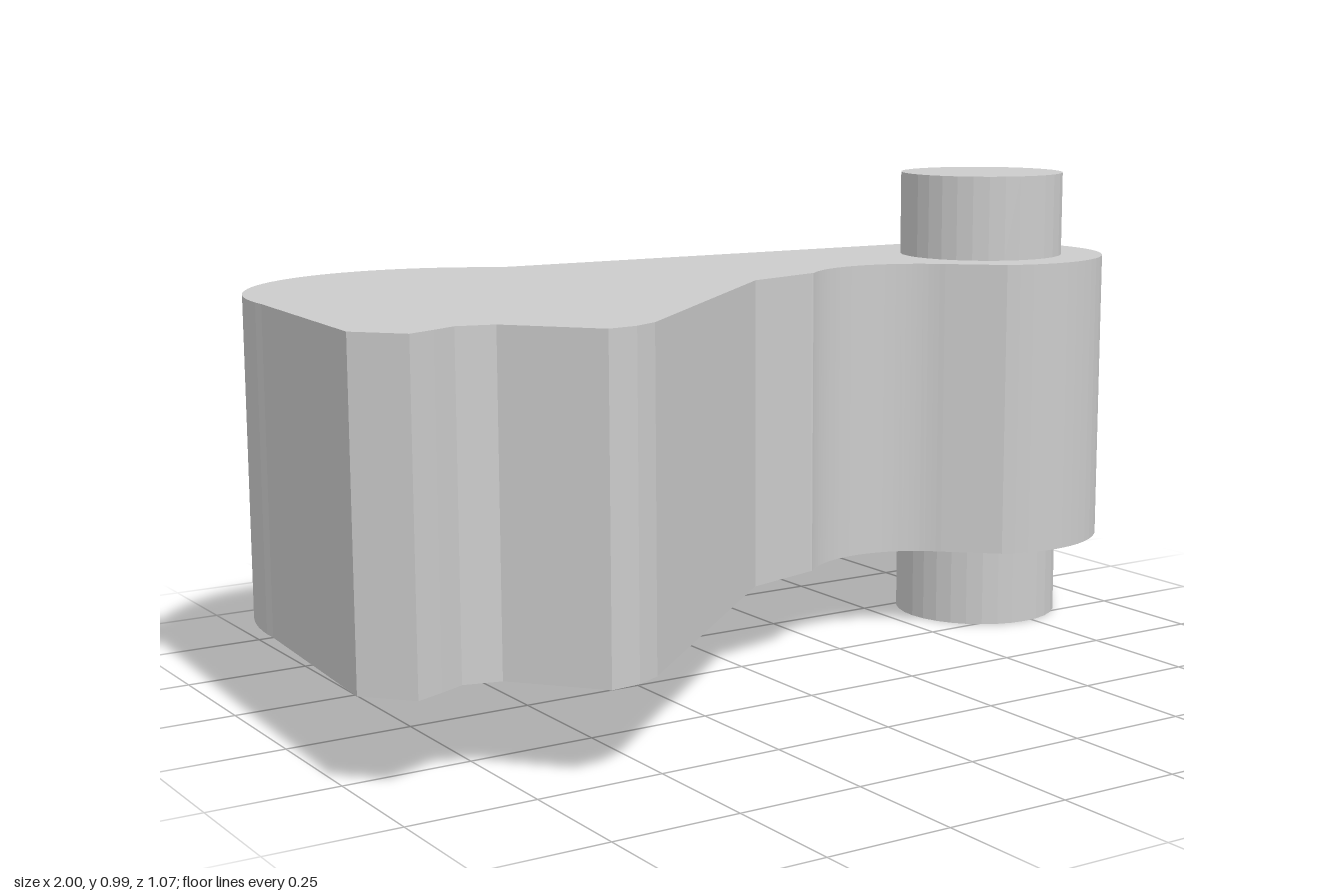
import * as THREE from 'three';

const material = new THREE.MeshStandardMaterial({ color: 0xcccccc, flatShading: true });
const BOTTOM = 0.18, TOP = 0.805, HEIGHT = 0.985;
const PIVOT = { x: 0.73, z: -0.14 };
const rad = THREE.MathUtils.degToRad;

// Outline in plan, drawn with shape y = -z
function leverOutline() {
  const s = new THREE.Shape();
  // notched tip
  s.moveTo(-1, -0.325);
  [[-0.925, -0.408], [-0.87, -0.385], [-0.82, -0.362], [-0.75, -0.38],
    [-0.62, -0.533], [-0.56, -0.526], [-0.51, -0.502],
    // inner edge
    [0, -0.05], [0.17, -0.003]].forEach(([x, y]) => s.lineTo(x, y));
  // hollow beside the pivot
  s.absarc(0.34, -0.17, 0.235, rad(135), rad(43), true);
  // round pivot end
  s.absarc(PIVOT.x, -PIVOT.z, 0.268, rad(-117), rad(87), false);
  // straight back edge running into the rounded shoulder
  s.absarc(-0.56, 0.13, 0.411, rad(52), rad(182), false);
  s.closePath();
  return s;
}

export function createModel() {
  const model = new THREE.Group();
  model.name = 'pawlLever';

  // Thick lever plate
  const plate = new THREE.ExtrudeGeometry(leverOutline(), {
    depth: TOP - BOTTOM, bevelEnabled: false, curveSegments: 16,
  });
  plate.rotateX(-Math.PI / 2);
  const lever = new THREE.Mesh(plate, material);
  lever.name = 'leverBody';
  lever.position.y = BOTTOM;
  model.add(lever);

  // Pivot pin stubs above and below the plate
  const stubs = [['lowerPin', 0, BOTTOM], ['upperPin', TOP, HEIGHT]];
  for (const [name, y0, y1] of stubs) {
    const pin = new THREE.Mesh(new THREE.CylinderGeometry(0.178, 0.178, y1 - y0, 32), material);
    pin.name = name;
    pin.position.set(PIVOT.x, (y0 + y1) / 2, PIVOT.z);
    model.add(pin);
  }
  return model;
}
